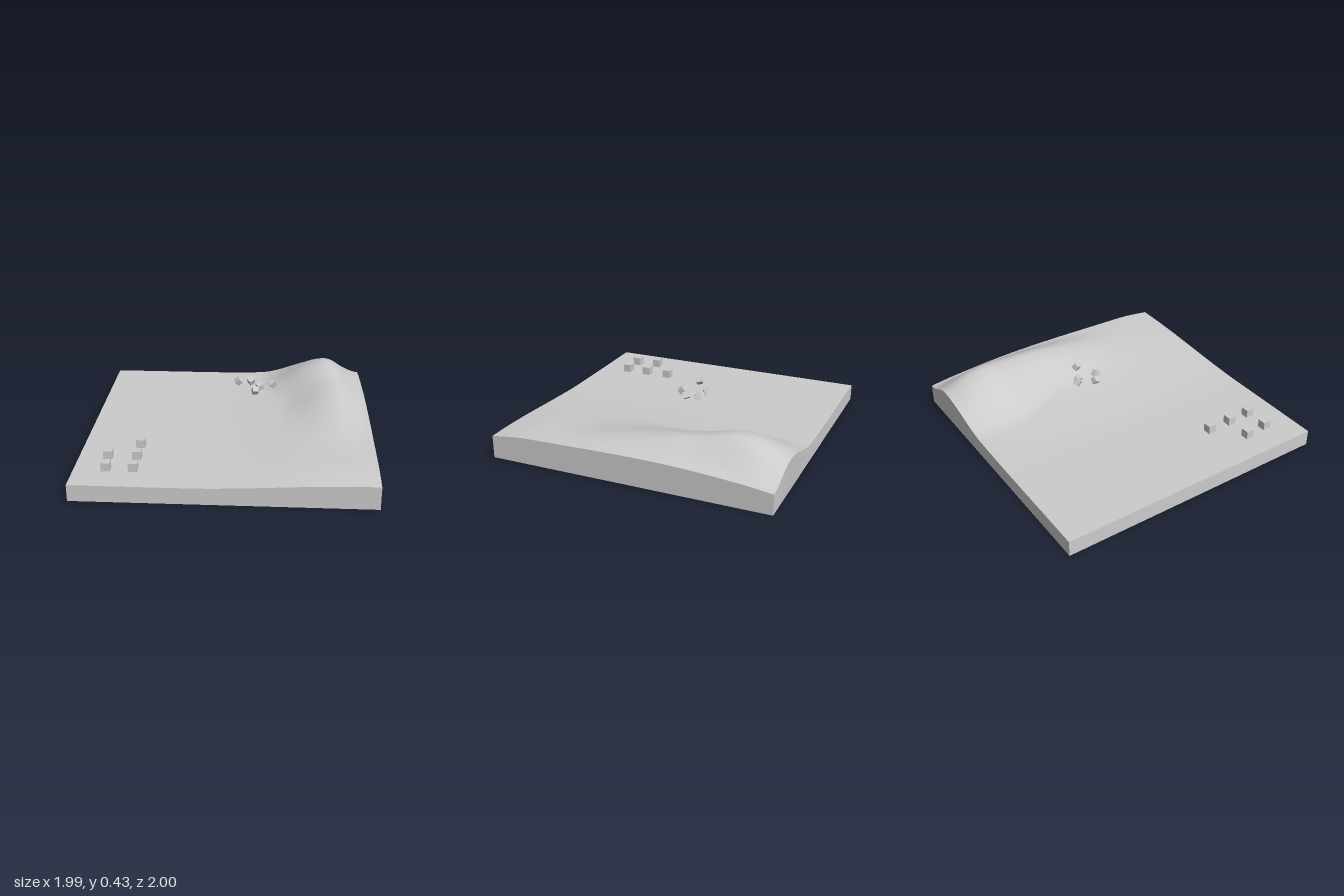
import * as THREE from 'three';

const { smoothstep, clamp } = THREE.MathUtils;
const BASE = 0.115;

// Smooth lookup through [z, value] control points (z ascending)
function profile(points) {
  return (z) => {
    const n = points.length;
    if (z <= points[0][0]) return points[0][1];
    if (z >= points[n - 1][0]) return points[n - 1][1];
    const slope = (i) => {
      const a = points[Math.max(i - 1, 0)], b = points[Math.min(i + 1, n - 1)];
      return (b[1] - a[1]) / (b[0] - a[0]);
    };
    let i = 0;
    while (points[i + 1][0] < z) i++;
    const [z0, v0] = points[i], [z1, v1] = points[i + 1];
    const d = z1 - z0, t = (z - z0) / d, t2 = t * t, t3 = t2 * t;
    return (2 * t3 - 3 * t2 + 1) * v0 + (t3 - 2 * t2 + t) * d * slope(i)
      + (3 * t2 - 2 * t3) * v1 + (t3 - t2) * d * slope(i + 1);
  };
}

// Broad rise toward the +x edge, and the ridge that climbs to the hilltop
const swell = profile([[-1, 0.025], [-0.8, 0.05], [-0.4, 0.078], [0, 0.085], [0.6, 0.075], [0.8, 0.068], [1, 0.045]]);
const ridge = profile([[-1, 0.1], [-0.82, 0.165], [-0.65, 0.182], [-0.4, 0.128], [-0.2, 0.1], [0, 0.07], [0.2, 0.04], [0.4, 0.012], [0.6, 0]]);

function hump(x, z) {
  const shift = smoothstep(z, -0.7, -0.2);
  const centre = 0.69 + 0.06 * shift;
  const width = x < centre ? 0.52 - 0.1 * shift : 0.31 - 0.05 * shift;
  const u = clamp((x - centre) / width, -1, 1);
  return ridge(z) * Math.cos(u * Math.PI / 2) ** 2;
}

const height = (x, z) => BASE + swell(z) * smoothstep(x, -0.25, 0.9) + hump(x, z);

// Solid slab whose upper face follows the height rule
function makeTerrain() {
  const geo = new THREE.BoxGeometry(1.987, 1, 1.99, 90, 1, 90);
  geo.translate(-0.0065, 0.5, 0.005);
  const p = geo.attributes.position;
  for (let i = 0; i < p.count; i++) {
    const x = p.getX(i), z = p.getZ(i);
    if (p.getY(i) > 0.5) {
      p.setY(i, height(x, z));
      // the rear rim leans out slightly at the hill
      if (z < -0.98) p.setZ(i, z - 0.1 * hump(x, z));
    } else {
      p.setY(i, 0);
      if (x > 0.97) p.setX(i, 0.988);
    }
  }
  geo.computeVertexNormals();
  return geo;
}

export function createModel() {
  const group = new THREE.Group();
  const material = new THREE.MeshStandardMaterial({ color: 0xcccccc });

  const add = (name, geometry, position = [0, 0, 0], rotation = [0, 0, 0]) => {
    const mesh = new THREE.Mesh(geometry, material);
    mesh.name = name;
    mesh.position.set(...position);
    mesh.rotation.set(...rotation);
    group.add(mesh);
  };

  add('terrain', makeTerrain());

  // Cubes resting on the flat ground
  const block = new THREE.BoxGeometry(0.06, 0.06, 0.06);
  [[-0.8, 0.605], [-0.605, 0.605], [-0.605, 0.425], [-0.785, 0.775], [-0.605, 0.775]]
    .forEach(([x, z], i) => add(`groundCube${i + 1}`, block, [x, BASE + 0.03, z]));

  // Tumbling cubes in the air
  const chip = new THREE.BoxGeometry(0.042, 0.042, 0.042);
  [
    [[0.04, 0.395, -0.12], [0.3, 0.2, 0.7]],
    [[0.13, 0.36, -0.215], [0.5, 0.6, 0.1]],
    [[0.165, 0.355, -0.04], [0.6, 0.1, -0.2]],
    [[0.195, 0.335, -0.17], [0.2, 0.5, 0.15]],
    [[0.29, 0.377, -0.125], [0.25, 0.45, 0.45]],
  ].forEach(([pos, rot], i) => add(`floatingCube${i + 1}`, chip, pos, rot));

  return group;
}
